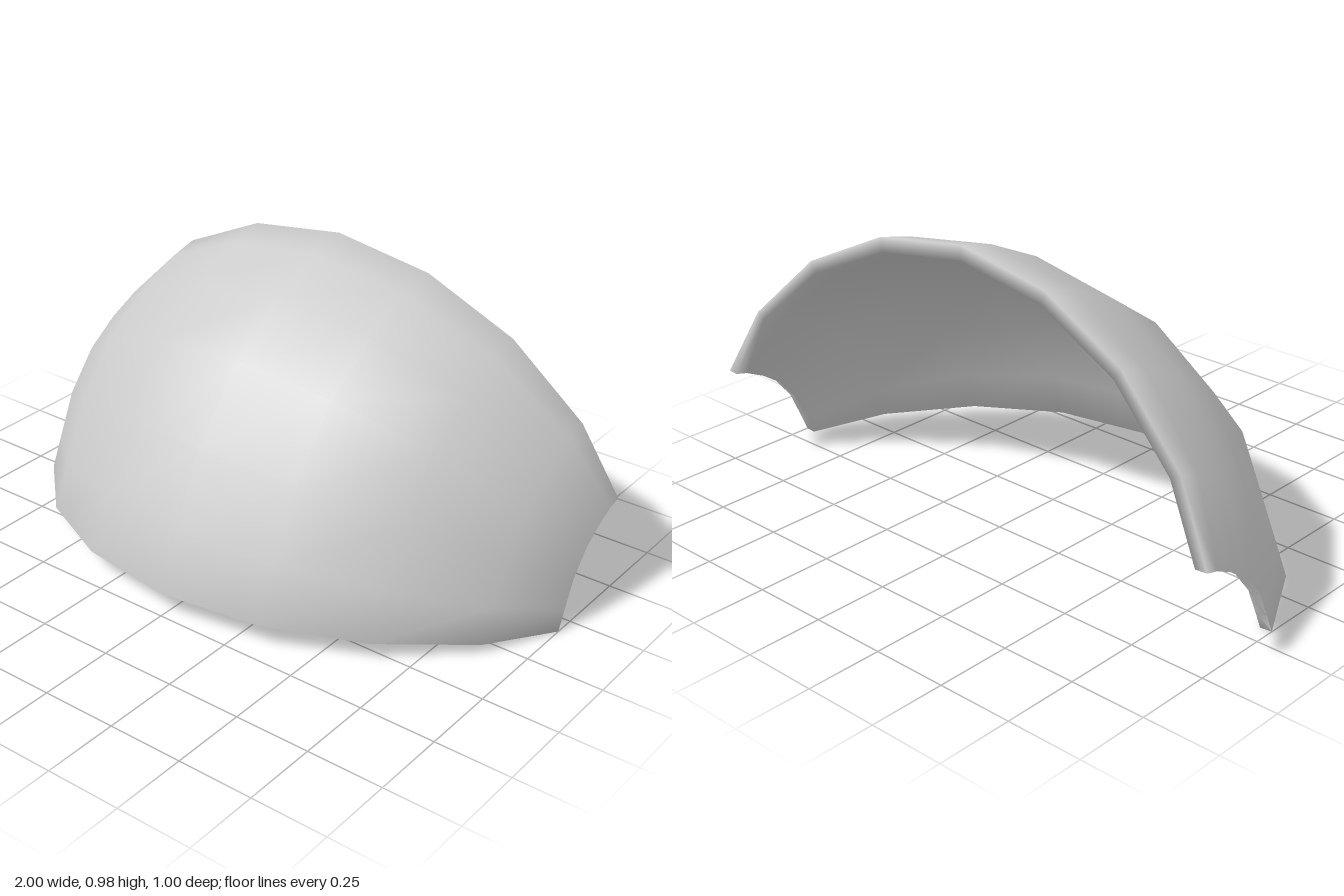
import * as THREE from 'three';

// Centre-line profiles [z, y], from the lower edge to the upper edge
const OUTER = [[0.5, 0.085], [0.42, 0.265], [0.31, 0.505], [0.125, 0.725], [-0.075, 0.86], [-0.27, 0.95], [-0.395, 0.98]];
const INNER = [[0.452, 0.082], [0.375, 0.25], [0.272, 0.468], [0.1, 0.68], [-0.09, 0.81], [-0.275, 0.902], [-0.4, 0.932]];
// Half-width stations and how far each one follows the centre profile
const X = [0, 0.335, 0.635, 0.875, 1];
const FOLLOW = [1, 0.92, 0.7, 0.355, 0];
const ROWS = OUTER.length, COLS = 9;

// One curved skin: each column blends the centre profile into a small side profile
function addSkin(positions, profile, width, inset) {
  for (let k = 0; k < ROWS; k++) {
    const [z, y] = profile[k];
    const endZ = -0.18 + (OUTER[k][0] - 0.5) * 0.352 - inset;
    const endY = 0.003 + (OUTER[k][1] - 0.085) * 0.36;
    for (let j = 0; j < COLS; j++) {
      const i = Math.abs(j - 4), w = FOLLOW[i];
      positions.push(Math.sign(j - 4) * X[i] * width, endY + (y - endY) * w, endZ + (z - endZ) * w);
    }
  }
}

function visorGeometry() {
  const positions = [], index = [];
  addSkin(positions, OUTER, 1, 0);
  addSkin(positions, INNER, 0.962, 0.004);
  const n = ROWS * COLS;
  const quad = (a, b, c, d) => index.push(a, b, c, a, c, d);

  // Outer and inner faces
  for (let k = 0; k < ROWS - 1; k++) {
    for (let j = 0; j < COLS - 1; j++) {
      const a = k * COLS + j, b = a + 1, c = b + COLS, d = a + COLS;
      quad(a, b, c, d);
      quad(n + b, n + a, n + d, n + c);
    }
  }

  // Rim joining the two skins all the way round
  const rim = [];
  for (let j = 0; j < COLS - 1; j++) rim.push(j);
  for (let k = 0; k < ROWS - 1; k++) rim.push(k * COLS + COLS - 1);
  for (let j = COLS - 1; j > 0; j--) rim.push((ROWS - 1) * COLS + j);
  for (let k = ROWS - 1; k > 0; k--) rim.push(k * COLS);
  rim.forEach((p, i) => {
    const q = rim[(i + 1) % rim.length];
    quad(q, p, n + p, n + q);
  });

  const geometry = new THREE.BufferGeometry();
  geometry.setAttribute('position', new THREE.Float32BufferAttribute(positions, 3));
  geometry.setIndex(index);
  geometry.computeVertexNormals();
  return geometry;
}

export function createModel() {
  const group = new THREE.Group();
  group.name = 'visor';
  const shell = new THREE.Mesh(visorGeometry(), new THREE.MeshStandardMaterial({ color: 0xcccccc }));
  shell.name = 'visorShell';
  group.add(shell);
  return group;
}
